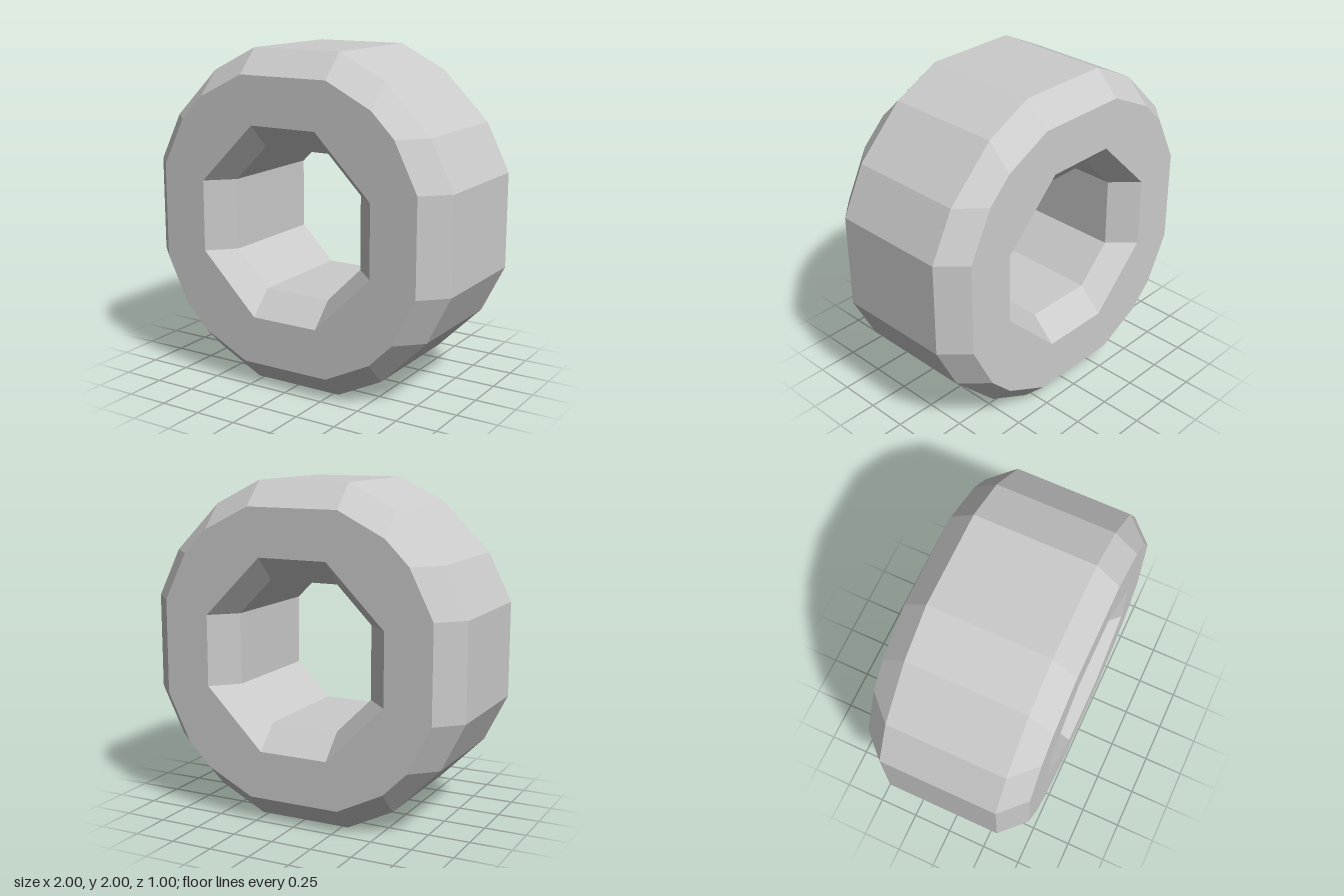
import * as THREE from 'three';

const U = 1 / 7; // design unit: the bevel width
const HALF = 0.5, SHOULDER = HALF - U;

// Closed counter-clockwise loop from one quadrant of points, repeated by quarter turns
function loop(quadrant) {
  const pts = [];
  let q = quadrant.map(([x, y]) => new THREE.Vector2(x * U, y * U));
  for (let k = 0; k < 4; k++) {
    pts.push(...q);
    q = q.map((p) => new THREE.Vector2(-p.y, p.x));
  }
  return pts;
}

// Flat-sided band joining loop a at depth za to loop b at depth zb
function band(a, za, b, zb) {
  const v = [];
  a.forEach((p, i) => {
    const j = (i + 1) % a.length;
    const A = [p.x, p.y, za], B = [a[j].x, a[j].y, za];
    const C = [b[j].x, b[j].y, zb], D = [b[i].x, b[i].y, zb];
    v.push(...A, ...B, ...C, ...A, ...C, ...D);
  });
  const g = new THREE.BufferGeometry();
  g.setAttribute('position', new THREE.Float32BufferAttribute(v, 3));
  g.computeVertexNormals();
  return g;
}

export function createModel() {
  const group = new THREE.Group();
  group.name = 'wheel';
  const material = new THREE.MeshStandardMaterial({ color: 0xcccccc, flatShading: true });
  const add = (name, geometry) => {
    const mesh = new THREE.Mesh(geometry, material);
    mesh.name = name;
    mesh.position.y = 1;
    group.add(mesh);
    return mesh;
  };

  // Sixteen-sided outside, eight-sided hole
  const tread = loop([[7, 2], [6, 4], [4, 6], [2, 7]]);
  const faceEdge = loop([[6, 2], [5, 4], [4, 5], [2, 6]]);
  const holeRim = loop([[4, 1.5], [1.5, 4]]);
  const bore = loop([[3, 1.5], [1.5, 3]]);

  // Outer bands
  add('backOuterBevel', band(faceEdge, -HALF, tread, -SHOULDER));
  add('tread', band(tread, -SHOULDER, tread, SHOULDER));
  add('frontOuterBevel', band(tread, SHOULDER, faceEdge, HALF));

  // Hole bands
  add('frontHoleBevel', band(holeRim, HALF, bore, SHOULDER));
  add('bore', band(bore, SHOULDER, bore, -SHOULDER));
  add('backHoleBevel', band(bore, -SHOULDER, holeRim, -HALF));

  // Flat side walls
  const wall = new THREE.Shape(faceEdge);
  wall.holes.push(new THREE.Path(holeRim));
  const wallGeometry = new THREE.ShapeGeometry(wall).translate(0, 0, HALF);
  add('frontWall', wallGeometry);
  add('backWall', wallGeometry).rotation.y = Math.PI;

  return group;
}
